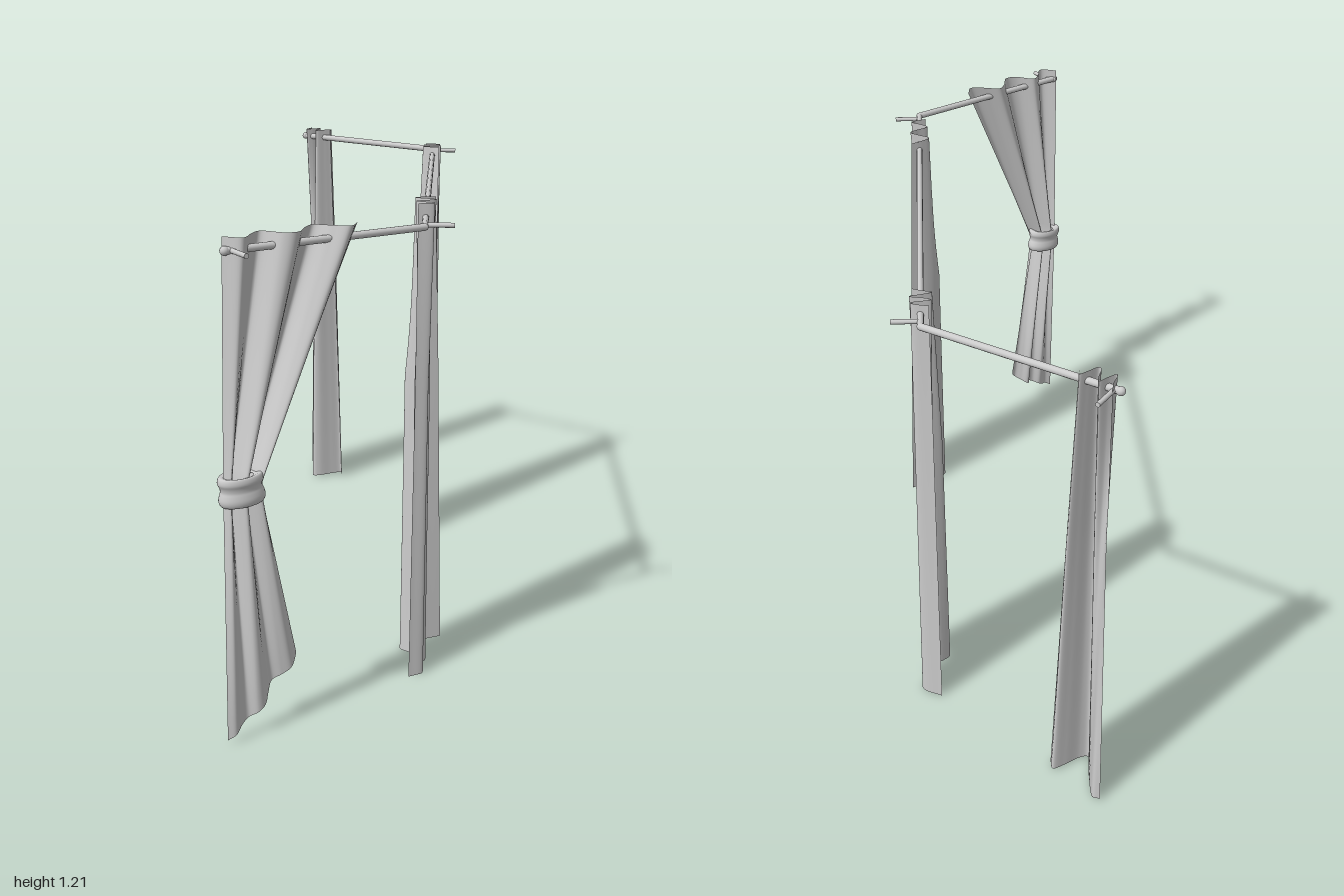
import * as THREE from 'three';

const ROD_Y = 1.175;
const grey = new THREE.MeshStandardMaterial({ color: 0xcccccc });
const cloth = new THREE.MeshStandardMaterial({ color: 0xcccccc, side: THREE.DoubleSide });

// Each run of the rod: origin, direction along it and outward normal, as [x, z]
const frontWing = { o: [0.195, 0.645], d: [-0.819, 0.574], n: [0.574, 0.819] };
const backWing = { o: [0.195, -0.645], d: [-0.819, -0.574], n: [0.574, -0.819] };
const mainRun = { o: [0.195, 0], d: [0, 1], n: [1, 0] };

function place(run, s, off, y) {
  return new THREE.Vector3(
    run.o[0] + run.d[0] * s + run.n[0] * off, y,
    run.o[1] + run.d[1] * s + run.n[1] * off);
}

function bar(name, a, b, radius) {
  const mesh = new THREE.Mesh(new THREE.CylinderGeometry(radius, radius, a.distanceTo(b), 12), grey);
  mesh.name = name;
  mesh.position.copy(a).add(b).multiplyScalar(0.5);
  mesh.quaternion.setFromUnitVectors(new THREE.Vector3(0, 1, 0), b.clone().sub(a).normalize());
  return mesh;
}

function ball(name, p, radius) {
  const mesh = new THREE.Mesh(new THREE.SphereGeometry(radius, 12, 8), grey);
  mesh.name = name;
  mesh.position.copy(p);
  return mesh;
}

// Smooth curve through evenly spaced fold offsets
function foldCurve(offsets) {
  return new THREE.CatmullRomCurve3(offsets.map((v, i) => new THREE.Vector3(i / (offsets.length - 1), v, 0)));
}

// Cloth lofted between pleated cross-sections: { y: [start, end], s: [start, end], folds }
function curtain(name, run, sections) {
  const cols = 72, steps = 14, pos = [], idx = [];
  const rows = sections.map(({ y, s, folds }) => {
    const curve = foldCurve(folds);
    return Array.from({ length: cols + 1 }, (_, i) => {
      const u = i / cols, hang = Math.pow(u, 0.75);
      return place(run, s[0] + (s[1] - s[0]) * u, curve.getPoint(u).y, y[0] + (y[1] - y[0]) * hang);
    });
  });
  const total = (rows.length - 1) * steps;
  for (let j = 0; j <= total; j++) {
    const k = Math.min(Math.floor(j / steps), rows.length - 2), t = j / steps - k;
    for (let i = 0; i <= cols; i++) pos.push(...rows[k][i].clone().lerp(rows[k + 1][i], t).toArray());
  }
  // Faces turn outward whichever way the run goes
  const outward = run.d[0] * run.n[1] > run.d[1] * run.n[0];
  for (let j = 0; j < total; j++) {
    for (let i = 0; i < cols; i++) {
      const a = j * (cols + 1) + i, b = a + cols + 1;
      if (outward) idx.push(a, b, a + 1, b, b + 1, a + 1);
      else idx.push(a, a + 1, b, b, a + 1, b + 1);
    }
  }
  const geo = new THREE.BufferGeometry();
  geo.setAttribute('position', new THREE.Float32BufferAttribute(pos, 3));
  geo.setIndex(idx);
  geo.computeVertexNormals();
  const mesh = new THREE.Mesh(geo, cloth);
  mesh.name = name;
  return mesh;
}

export function createModel() {
  const model = new THREE.Group();
  model.name = 'bayWindowCurtains';

  // Three-part rod with rounded corners, end knobs and wall brackets
  const rod = new THREE.Group();
  rod.name = 'curtainRod';
  const corners = [0.645, -0.645].map(z => place(mainRun, z, 0, ROD_Y));
  rod.add(bar('mainRod', corners[0], corners[1], 0.008));
  [frontWing, backWing].forEach((run, i) => {
    const end = place(run, 0.52, 0, ROD_Y);
    rod.add(bar('wingRod', corners[i], end, 0.009));
    rod.add(ball('rodCorner', corners[i], 0.009), ball('endKnob', end, 0.011));
    rod.add(bar('endBracket', place(run, 0.505, 0, ROD_Y), place(run, 0.505, 0.075, ROD_Y), 0.006));
  });
  for (const z of [-0.62, 0.62]) {
    rod.add(bar('cornerBracket', place(mainRun, z, 0, ROD_Y), place(mainRun, z, 0.07, ROD_Y), 0.006));
  }
  model.add(rod);

  // Curtain gathered by a tieback
  model.add(curtain('tiedCurtain', frontWing, [
    { y: [1.205, 1.205], s: [0.18, 0.52], folds: [-0.005, 0.028, 0.005, -0.028, -0.008, 0.028, 0.02, -0.025, -0.005, 0.024, -0.012] },
    { y: [0.63, 0.63], s: [0.447, 0.538], folds: [0, 0.025, 0.015, -0.02, 0, 0.028, 0.025, -0.02, 0.005, 0.02, 0] },
    { y: [0.165, 0.015], s: [0.34, 0.555], folds: [-0.028, -0.012, -0.022, -0.035, -0.012, 0.015, 0.02, 0.008, 0.015, 0.03, 0.025] },
  ]));

  // Tieback band: two soft rolls wrapped close around the gathered cloth
  const profile = [[0.6, -0.03], [0.95, -0.034], [1.07, -0.028], [1.1, -0.018], [1.04, -0.006], [0.99, 0.002], [1.02, 0.012], [1.1, 0.022], [1.05, 0.033], [0.92, 0.036], [0.6, 0.03]];
  const curve = new THREE.SplineCurve(profile.map(p => new THREE.Vector2(...p)));
  const band = new THREE.Mesh(new THREE.LatheGeometry(curve.getPoints(30), 40), cloth);
  band.name = 'tieback';
  band.scale.set(0.052, 1, 0.035);
  band.position.copy(place(frontWing, 0.493, 0.002, 0.625));
  band.rotation.set(0, Math.atan2(0.574, 0.819), 0.06);
  model.add(band);

  // Loose hanging curtains
  model.add(curtain('frontHangingCurtain', mainRun, [
    { y: [1.2, 1.21], s: [0.37, 0.53], folds: [0.022, -0.01, -0.028, 0, 0.025, 0.005, -0.024, -0.005, 0.022, -0.018] },
    { y: [0.75, 0.75], s: [0.373, 0.562], folds: [0.035, -0.012, -0.04, -0.048, -0.01, 0.015, -0.012, -0.022, 0.012, -0.02] },
    { y: [0.005, 0.005], s: [0.378, 0.62], folds: [0.05, 0, -0.035, -0.056, -0.025, 0.012, 0.002, -0.022, 0.008, -0.028] },
  ]));
  model.add(curtain('backHangingCurtain', mainRun, [
    { y: [1.2, 1.2], s: [-0.592, -0.505], folds: [-0.02, 0.015, 0.02, -0.025, -0.01, 0.026, -0.005, -0.028, 0, 0.02] },
    { y: [0.75, 0.75], s: [-0.596, -0.458], folds: [-0.024, 0.015, 0.02, -0.02, -0.005, 0.015, -0.025, -0.045, -0.005, 0.018] },
    { y: [0.005, 0.005], s: [-0.6, -0.388], folds: [-0.03, 0.015, 0.02, -0.012, 0.005, 0.005, -0.035, -0.055, -0.025, 0.018] },
  ]));
  model.add(curtain('endHangingCurtain', backWing, [
    { y: [1.2, 1.2], s: [0.42, 0.51], folds: [0.005, 0.022, 0, -0.025, -0.02, 0.01, 0.025, -0.005, -0.02, 0.02] },
    { y: [0.75, 0.75], s: [0.4, 0.52], folds: [0.002, 0.022, -0.005, -0.038, -0.042, -0.01, 0.015, 0.01, 0.015, 0.032] },
    { y: [0.01, 0.01], s: [0.372, 0.542], folds: [0, 0.02, -0.01, -0.05, -0.064, -0.03, 0, 0.028, 0.05, 0.045] },
  ]));
  return model;
}
